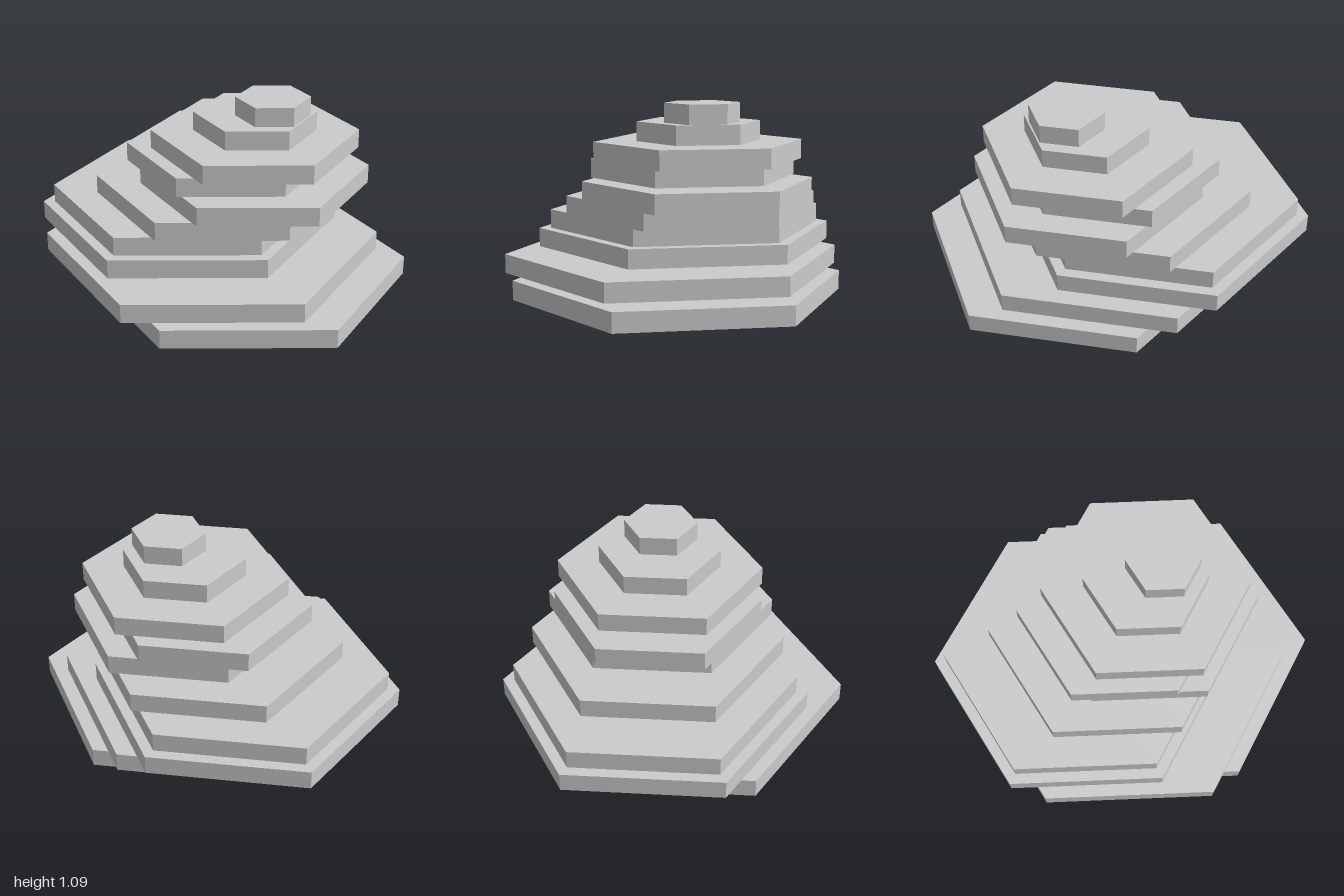
import * as THREE from 'three';

// Stacked hexagonal terraces, bottom to top: [centre x, centre z, radius]
const TIERS = [
  [0.19, 0.005, 0.932],
  [-0.027, 0.005, 0.968],
  [-0.245, -0.104, 0.872],
  [-0.245, -0.104, 0.805],
  [-0.027, -0.104, 0.726],
  [0.19, -0.104, 0.653],
  [0.026, -0.104, 0.588],
  [0.19, -0.104, 0.588],
  [0.19, -0.104, 0.348],
  [0.3, -0.104, 0.21],
];
const HEIGHT = 0.109;

export function createModel() {
  const model = new THREE.Group();
  model.name = 'terracedHill';
  const material = new THREE.MeshStandardMaterial({
    color: 0xcccccc, flatShading: true, side: THREE.DoubleSide,
  });

  TIERS.forEach(([x, z, radius], i) => {
    const tier = new THREE.Group();
    tier.name = `tier${i + 1}`;
    tier.position.set(x, i * HEIGHT, z);

    // Thin side walls, open underneath, with corners pointing to front and back
    const wall = new THREE.Mesh(
      new THREE.CylinderGeometry(radius, radius, HEIGHT, 6, 1, true), material);
    wall.name = 'wall';
    wall.position.y = HEIGHT / 2;

    // Flat top
    const top = new THREE.Mesh(
      new THREE.CircleGeometry(radius, 6, Math.PI / 2).rotateX(-Math.PI / 2), material);
    top.name = 'top';
    top.position.y = HEIGHT;

    tier.add(wall, top);
    model.add(tier);
  });
  return model;
}
